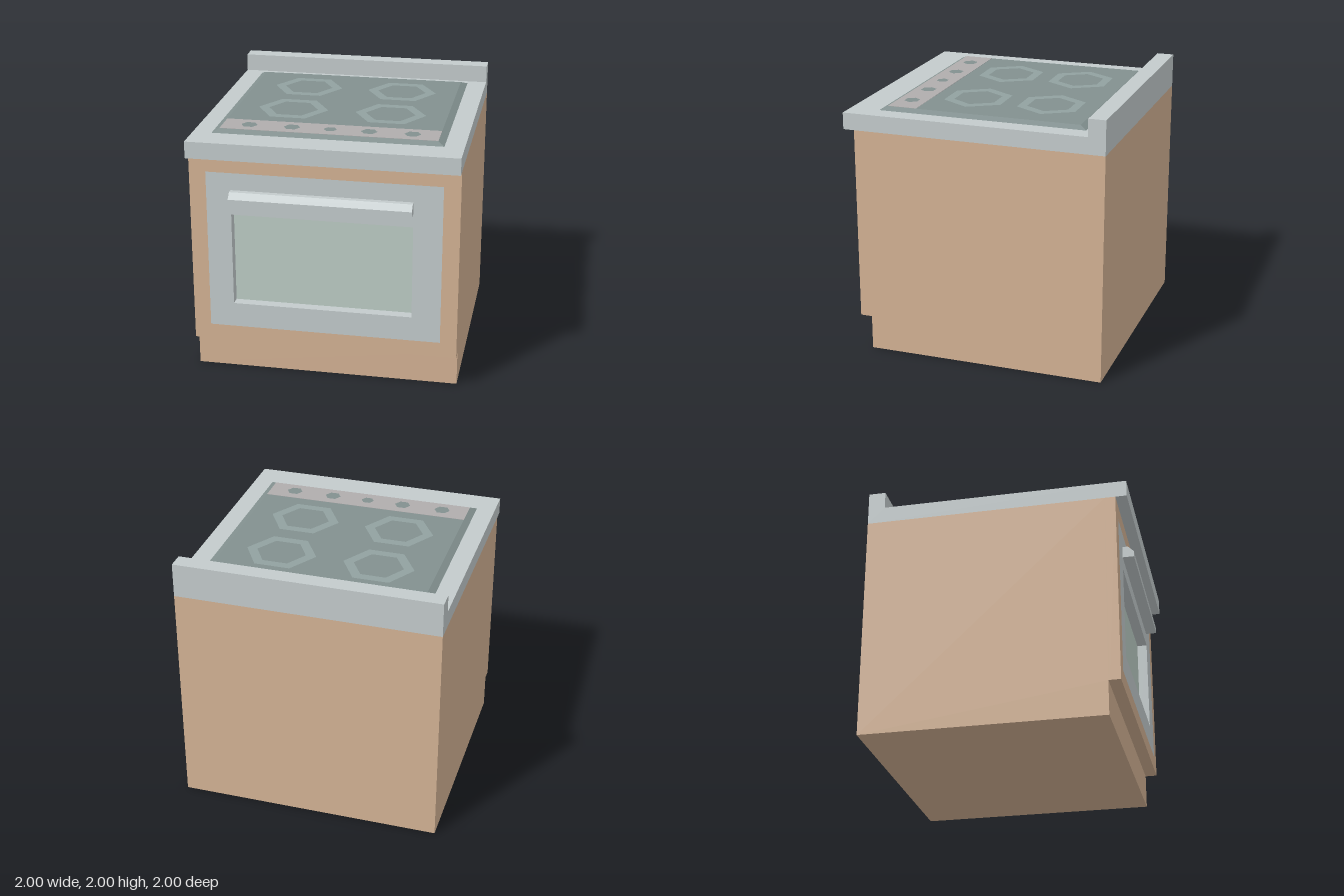
import * as THREE from 'three';

const mat = (color) => new THREE.MeshStandardMaterial({ color });
const wood = mat(0xd3b294), steel = mat(0xc3cbcc), hobDark = mat(0x82908f);
const ringGrey = mat(0x91a1a0), stripGrey = mat(0xb0adad), glass = mat(0xbcccc5);

export function createModel() {
  const model = new THREE.Group();

  const add = (name, geometry, material) => {
    const mesh = new THREE.Mesh(geometry, material);
    mesh.name = name;
    model.add(mesh);
    return mesh;
  };

  // Box given by its minimum and maximum corners
  const box = (x0, x1, y0, y1, z0, z1) =>
    new THREE.BoxGeometry(x1 - x0, y1 - y0, z1 - z0)
      .translate((x0 + x1) / 2, (y0 + y1) / 2, (z0 + z1) / 2);

  // Side profile of [z, y] points extruded along x
  const sideProfile = (points, x0, x1) => {
    const shape = new THREE.Shape(points.map(([z, y]) => new THREE.Vector2(z, y)));
    return new THREE.ExtrudeGeometry(shape, { depth: x1 - x0, bevelEnabled: false })
      .rotateY(-Math.PI / 2).translate(x1, 0, 0);
  };

  // Rectangular front frame with a rectangular opening; rects are [x0, x1, y0, y1]
  const rectPoints = ([x0, x1, y0, y1]) =>
    [[x0, y0], [x1, y0], [x1, y1], [x0, y1]].map((p) => new THREE.Vector2(...p));
  const frame = (outer, inner, z0, z1) => {
    const shape = new THREE.Shape(rectPoints(outer));
    shape.holes.push(new THREE.Path(rectPoints(inner).reverse()));
    return new THREE.ExtrudeGeometry(shape, { depth: z1 - z0, bevelEnabled: false })
      .translate(0, 0, z0);
  };

  // Cabinet: body with set-back plinth, then a front frame around the door
  const front = 0.915, recess = 0.835;
  const door = [-0.875, 0.875, 0.38, 1.615];
  const opening = [-0.69, 0.66, 0.57, 1.29];
  add('cabinetBody', sideProfile(
    [[-1, 0], [0.825, 0], [0.825, 0.262], [recess, 0.262], [recess, 1.74], [-1, 1.74]], -1, 1), wood);
  add('cabinetFront', frame([-1, 1, 0.262, 1.74], door, recess, front), wood);

  // Oven door with recessed window
  add('ovenDoor', frame(door, opening, recess, front), steel);
  add('ovenWindow', box(...opening, recess - 0.01, recess + 0.003), glass);
  add('doorHandle', sideProfile(
    [[front, 1.395], [1, 1.395], [1, 1.44], [0.957, 1.483], [front, 1.483]], -0.69, 0.66), steel);

  // Worktop with raised back ledge
  add('worktop', sideProfile(
    [[-1, 1.74], [1, 1.74], [1, 1.867], [-0.87, 1.867], [-0.87, 2], [-1, 2]], -1, 1), steel);

  // Hob plate, its upper corners drawn inwards to make the sloping rim
  const top = 1.89;
  const plate = box(-0.86, 0.856, 1.866, top, -0.815, 0.775).toNonIndexed();
  const pos = plate.attributes.position;
  for (let i = 0; i < pos.count; i++) {
    if (pos.getY(i) < top - 0.01) continue;
    pos.setX(i, pos.getX(i) < 0 ? -0.81 : 0.805);
    pos.setZ(i, pos.getZ(i) < 0 ? -0.76 : 0.725);
  }
  plate.computeVertexNormals();
  add('hobPlate', plate, hobDark);

  // Four hexagonal burner rings
  for (const x of [-0.375, 0.375]) {
    for (const z of [-0.405, 0.173]) {
      const ring = new THREE.RingGeometry(0.19, 0.27, 6, 1).rotateX(-Math.PI / 2).scale(1, 1, 0.96);
      add('burnerRing', ring, ringGrey).position.set(x, top + 0.002, z);
    }
  }

  // Control strip with five flat hexagonal knobs
  add('controlStrip', box(-0.81, 0.805, top - 0.005, top + 0.002, 0.5, 0.725), stripGrey);
  for (const [x, r] of [[-0.61, 0.062], [-0.29, 0.062], [-0.003, 0.05], [0.285, 0.062], [0.605, 0.062]]) {
    const knob = new THREE.CircleGeometry(r, 6).rotateX(-Math.PI / 2).scale(1, 1, 0.96);
    add('controlKnob', knob, hobDark).position.set(x, top + 0.004, 0.615);
  }

  return model;
}
